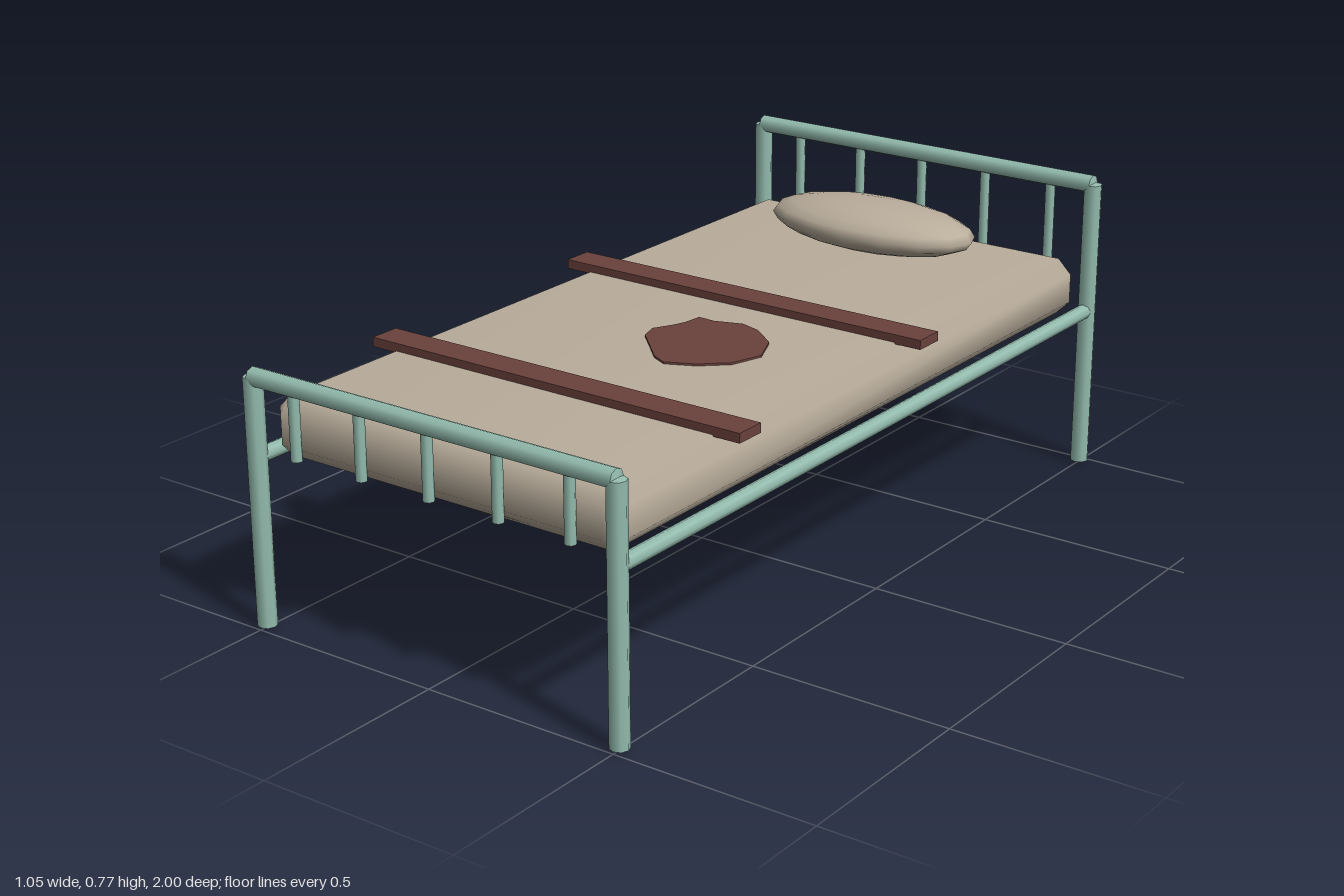
import * as THREE from 'three';
import { ConvexGeometry } from 'three/addons/geometries/ConvexGeometry.js';
import { mergeVertices } from 'three/addons/utils/BufferGeometryUtils.js';

export function createModel() {
  const model = new THREE.Group();
  model.name = 'bed';

  const paint = new THREE.MeshStandardMaterial({ color: 0x94bcae });
  paint.name = 'pale green metal';
  const cloth = new THREE.MeshStandardMaterial({ color: 0xbaae9c });
  cloth.name = 'beige cloth';
  const leather = new THREE.MeshStandardMaterial({ color: 0x6a423d });
  leather.name = 'dark red brown';

  function add(parent, name, geometry, material, x = 0, y = 0, z = 0) {
    const mesh = new THREE.Mesh(geometry, material);
    mesh.name = name;
    mesh.position.set(x, y, z);
    parent.add(mesh);
    return mesh;
  }

  // Eight-sided tube with slightly domed ends, centred on its middle
  function rod(radius, length) {
    const h = length / 2;
    const dome = radius * 0.22;
    const profile = [
      [0, -h], [radius, -h + dome], [radius, -h + dome],
      [radius, h - dome], [radius, h - dome], [0, h],
    ].map(([x, y]) => new THREE.Vector2(x, y));
    return new THREE.LatheGeometry(profile, 8);
  }

  // Head and foot ends: two posts, a top rail and five bars
  function bedEnd(name, railY, z) {
    const end = new THREE.Group();
    end.name = name;
    end.position.z = z;
    model.add(end);
    const postTop = railY + 0.005;
    for (const x of [-0.5, 0.5]) {
      add(end, x > 0 ? 'leftPost' : 'rightPost', rod(0.023, postTop), paint, x, postTop / 2, 0);
    }
    add(end, 'topRail', rod(0.023, 1.01), paint, 0, railY, 0).rotation.z = Math.PI / 2;
    const bottom = 0.428;
    const top = railY - 0.015;
    for (let i = -2; i <= 2; i++) {
      add(end, 'bar', rod(0.013, top - bottom), paint, i * 0.19, (top + bottom) / 2, 0);
    }
  }
  bedEnd('headEnd', 0.745, -0.977);
  bedEnd('footEnd', 0.602, 0.977);

  // Side rails
  for (const x of [-0.5, 0.5]) {
    const rail = add(model, x > 0 ? 'leftSideRail' : 'rightSideRail', rod(0.019, 1.95), paint, x, 0.414, 0);
    rail.rotation.x = Math.PI / 2;
  }

  // Mattress: a box with every edge chamfered and softly shaded
  const hx = 0.48, hy = 0.0725, hz = 0.955, b = 0.036;
  const corners = [];
  for (const sx of [-1, 1]) for (const sy of [-1, 1]) for (const sz of [-1, 1]) {
    corners.push(
      new THREE.Vector3(sx * hx, sy * (hy - b), sz * (hz - b)),
      new THREE.Vector3(sx * (hx - b), sy * hy, sz * (hz - b)),
      new THREE.Vector3(sx * (hx - b), sy * (hy - b), sz * hz),
    );
  }
  let mattress = new ConvexGeometry(corners);
  mattress.deleteAttribute('normal');
  mattress = mergeVertices(mattress);
  mattress.computeVertexNormals();
  add(model, 'mattress', mattress, cloth, 0, 0.4825, 0);

  // Pillow
  const pillow = new THREE.SphereGeometry(1, 16, 10);
  pillow.scale(0.292, 0.062, 0.144);
  add(model, 'pillow', pillow, cloth, 0, 0.611, -0.742);

  // Straps across the mattress
  for (const z of [-0.18, 0.537]) {
    add(model, 'strap', new THREE.BoxGeometry(1.03, 0.023, 0.078), leather, 0, 0.5625, z);
  }

  // Irregular stain, a thin plate lying on the mattress
  const outline = [
    [-0.016, -0.011], [0.03, -0.009], [0.096, -0.032], [0.149, -0.016],
    [0.218, 0.037], [0.255, 0.122], [0.229, 0.202], [0.17, 0.255],
    [0.101, 0.287], [0.059, 0.266], [0.011, 0.218], [-0.043, 0.165],
    [-0.058, 0.117], [-0.032, 0.069], [-0.021, 0.037],
  ].map(([x, z]) => new THREE.Vector2(x, -z));
  const stain = new THREE.ExtrudeGeometry(new THREE.Shape(outline), { depth: 0.007, bevelEnabled: false });
  stain.rotateX(-Math.PI / 2);
  add(model, 'stain', stain, leather, 0, 0.553, 0);

  return model;
}
